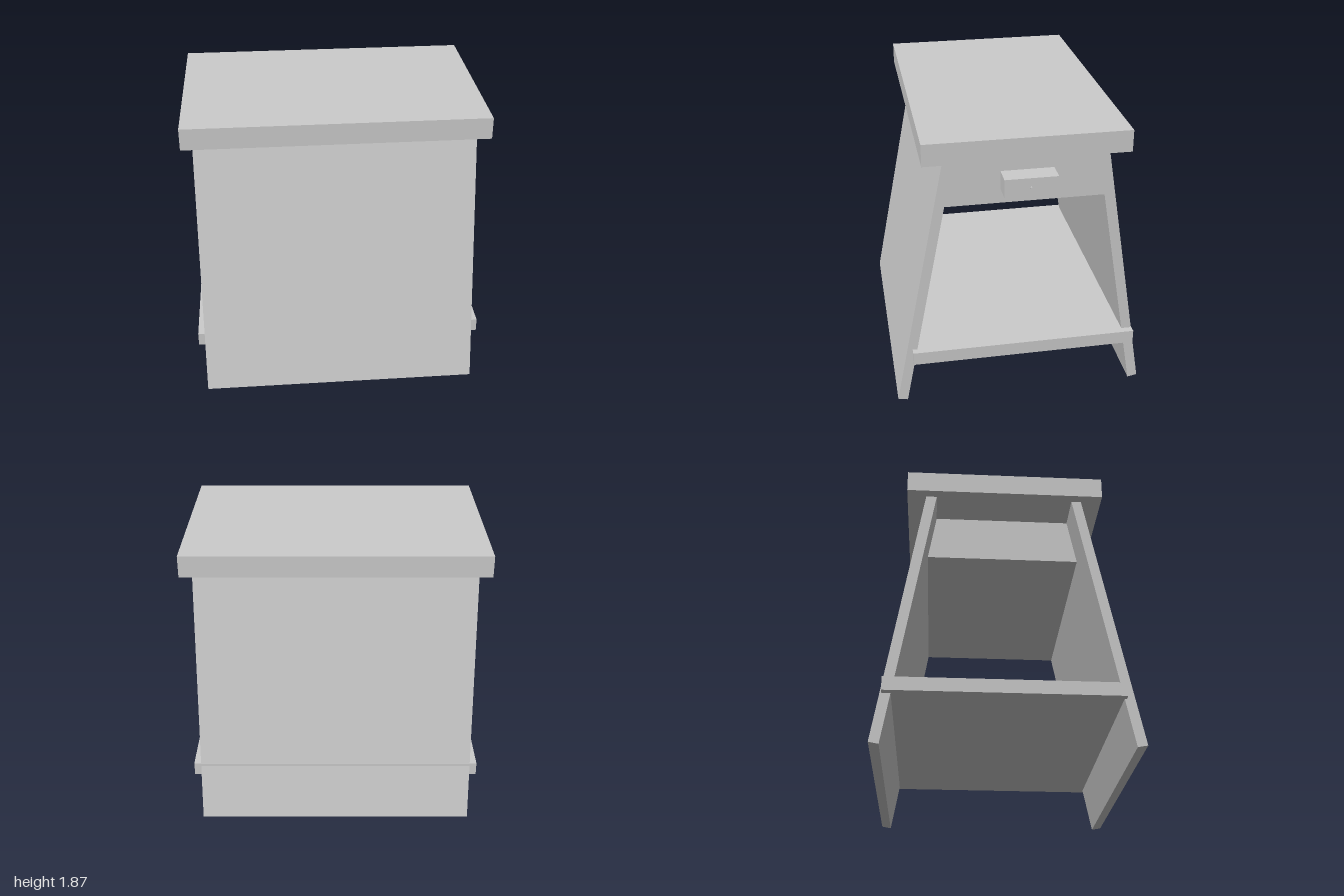
import * as THREE from 'three';

const material = new THREE.MeshStandardMaterial({ color: 0xcccccc, flatShading: true });

function add(group, name, geometry) {
  const mesh = new THREE.Mesh(geometry, material);
  mesh.name = name;
  group.add(mesh);
  return mesh;
}

// Box given by its lower and upper limits on each axis
function box([x0, x1], [y0, y1], [z0, z1]) {
  return new THREE.BoxGeometry(x1 - x0, y1 - y0, z1 - z0)
    .translate((x0 + x1) / 2, (y0 + y1) / 2, (z0 + z1) / 2);
}

// Side profile of [z, y] corners, extruded along x
function profile(points, x0, x1) {
  const shape = new THREE.Shape(points.map(([z, y]) => new THREE.Vector2(-z, y)));
  return new THREE.ExtrudeGeometry(shape, { depth: x1 - x0, bevelEnabled: false })
    .rotateY(Math.PI / 2)
    .translate(x0, 0, 0);
}

export function createModel() {
  const group = new THREE.Group();
  group.name = 'sideTable';
  const left = -0.935, right = 0.86;

  // Overhanging top slab
  add(group, 'tableTop', box([-1, 0.925], [1.73, 1.87], [-0.66, 0.613]));

  // Splayed panel legs, cut square to their slope
  add(group, 'frontPanel', profile(
    [[0.82, 0.027], [0.757, 0.015], [0.419, 1.73], [0.482, 1.73]], left, right));
  add(group, 'backPanel', profile(
    [[-0.82, 0.012], [-0.757, 0], [-0.468, 1.73], [-0.537, 1.73]], left, right));

  // Drawer between the panels, set back at the far end
  add(group, 'drawer', profile(
    [[0.48, 1.425], [-0.52, 1.425], [-0.468, 1.73], [0.419, 1.73]], -0.68, right));

  // Handle block with its small pin
  add(group, 'drawerHandle', box([right, 0.99], [1.52, 1.637], [-0.195, 0.135]));
  add(group, 'handlePin', new THREE.CylinderGeometry(0.008, 0.008, 0.02, 12)
    .rotateZ(Math.PI / 2).translate(0.99, 1.575, -0.03));

  // Lower shelf, passing through the panels with its ends showing
  add(group, 'shelf', box([-0.98, 0.905], [0.322, 0.41], [-0.758, 0.71]));

  return group;
}
